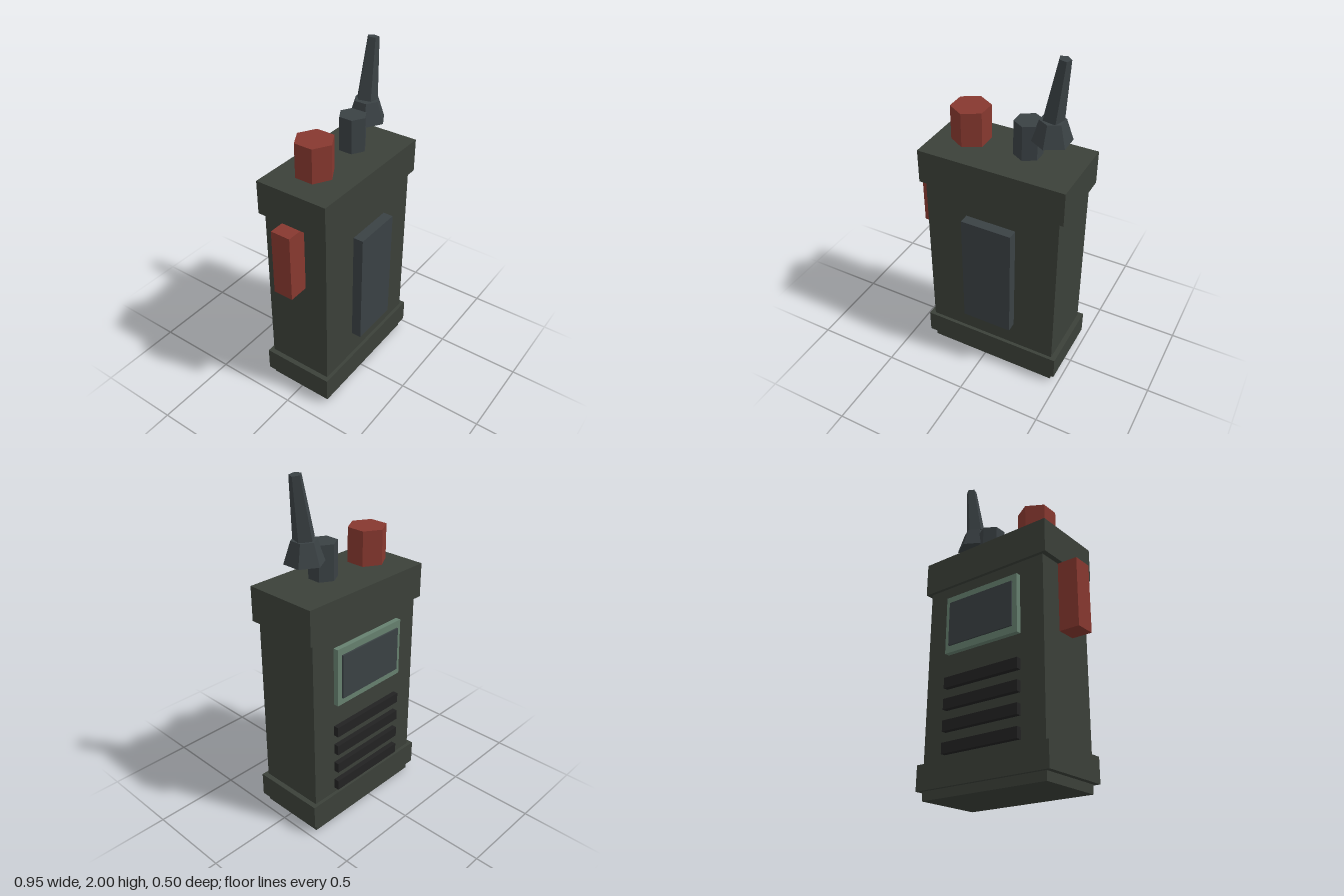
import * as THREE from 'three';

const material = (name, color) => {
  const m = new THREE.MeshStandardMaterial({ color });
  m.name = name;
  return m;
};

export function createModel() {
  const olive = material('olive casing', 0x3b4039);
  const slate = material('slate plastic', 0x3a4144);
  const red = material('red controls', 0x87382f);
  const sage = material('sage frame', 0x66806f);
  const black = material('black grille', 0x222222);

  const group = new THREE.Group();
  group.name = 'radio';
  const cx = 0.045, cz = -0.01; // axis of the casing

  const add = (name, geometry, mat, x, y, z) => {
    const mesh = new THREE.Mesh(geometry, mat);
    mesh.name = name;
    mesh.position.set(x, y, z);
    group.add(mesh);
    return mesh;
  };
  // Box given by its lower and upper limits on each axis
  const box = (name, mat, [x0, x1], [y0, y1], [z0, z1]) =>
    add(name, new THREE.BoxGeometry(x1 - x0, y1 - y0, z1 - z0), mat,
      (x0 + x1) / 2, (y0 + y1) / 2, (z0 + z1) / 2);
  // Faceted upright prism or frustum
  const prism = (name, mat, rTop, rBottom, height, sides, x, y, start = 0) => {
    const geo = new THREE.CylinderGeometry(rTop, rBottom, height, sides, 1, false, start).toNonIndexed();
    geo.computeVertexNormals();
    return add(name, geo, mat, x, y, cz);
  };

  // Casing with wider bands at top and bottom
  box('body', olive, [cx - 0.4, cx + 0.4], [0, 1.3], [cz - 0.2, cz + 0.2]);
  box('topCap', olive, [cx - 0.43, cx + 0.43], [1.2, 1.4], [cz - 0.22, cz + 0.22]);
  box('bottomBand', olive, [cx - 0.43, cx + 0.43], [0.05, 0.19], [cz - 0.22, cz + 0.22]);

  // Front clip plate and side talk button
  box('frontPlate', slate, [cx - 0.15, cx + 0.15], [0.35, 1.05], [0.17, 0.25]);
  box('talkButton', red, [-0.475, -0.34], [0.8, 1.2], [cz - 0.06, cz + 0.06]);

  // Display and speaker grille on the back
  box('screenFrame', sage, [cx - 0.25, cx + 0.25], [0.78, 1.12], [-0.24, -0.2]);
  box('screen', slate, [cx - 0.22, cx + 0.22], [0.82, 1.08], [-0.25, -0.23]);
  for (let i = 0; i < 4; i++) {
    const y = 0.22 + i * 0.12;
    box('grilleBar' + (i + 1), black, [cx - 0.25, cx + 0.25], [y, y + 0.06], [-0.24, -0.2]);
  }

  // Hexagonal knobs
  prism('largeKnob', red, 0.11, 0.11, 0.2, 6, -0.175, 1.52);
  prism('smallKnob', slate, 0.08, 0.08, 0.2, 6, 0.165, 1.52);

  // Antenna: flared base and leaning five-sided rod
  prism('antennaBase', slate, 0.07, 0.11, 0.12, 6, 0.295, 1.6);
  const rod = prism('antennaRod', slate, 0.033, 0.06, 0.335, 5, 0.318, 1.829, Math.PI);
  rod.rotation.z = -0.14;

  return group;
}
